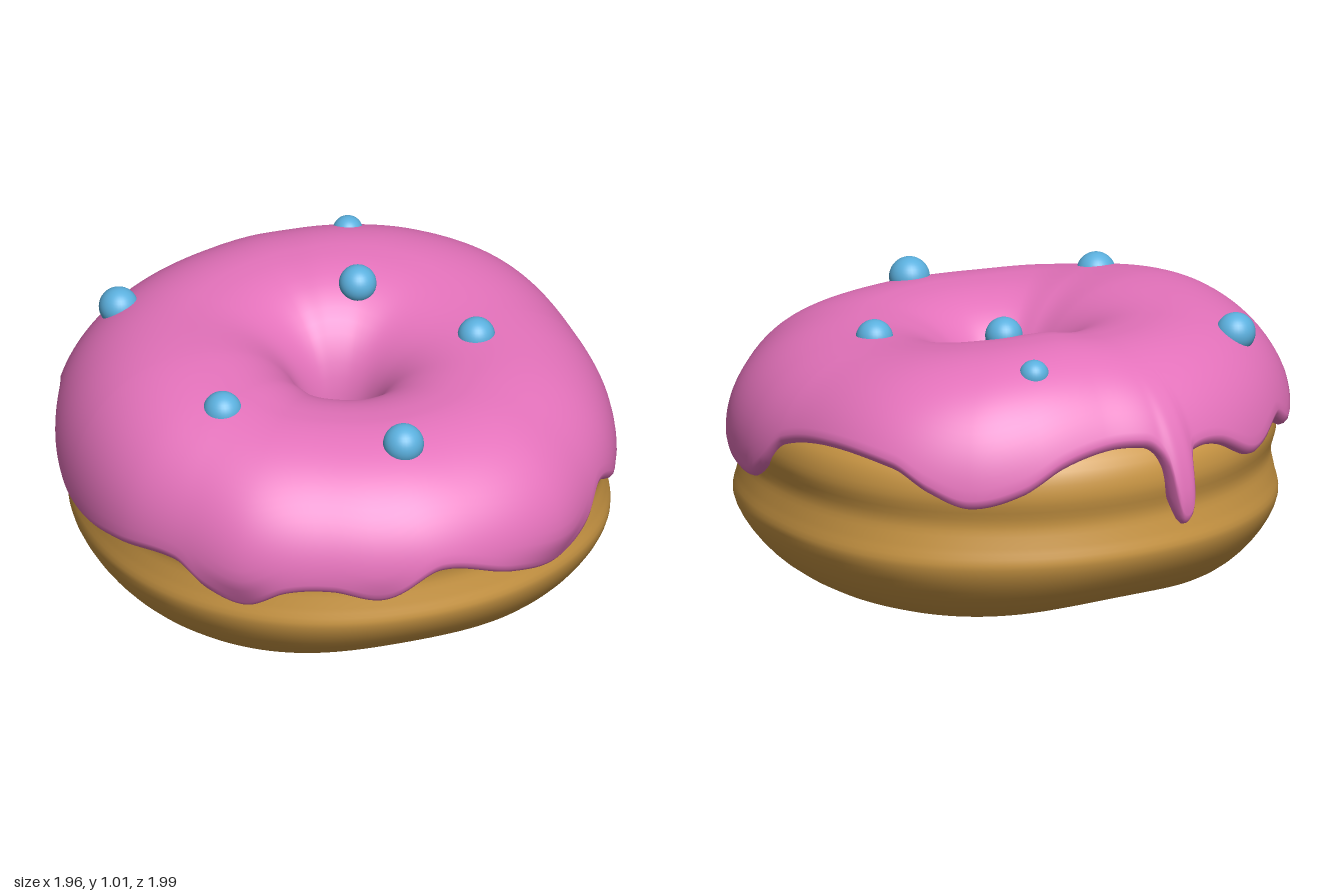
import * as THREE from 'three';

const DEG = Math.PI / 180;

// Smooth periodic curve through [degrees, value] pairs
function ringCurve(pts) {
  const n = pts.length;
  const at = (k) => {
    const turn = Math.floor(k / n), p = pts[k - turn * n];
    return [p[0] + 360 * turn, p[1]];
  };
  const slope = (k) => {
    const p = at(k - 1), q = at(k + 1);
    return (q[1] - p[1]) / (q[0] - p[0]);
  };
  return (a) => {
    let k = n - 1;
    while (k >= 0 && pts[k][0] > a) k--;
    const p = at(k), q = at(k + 1), d = q[0] - p[0], t = (a - p[0]) / d;
    const t2 = t * t, t3 = t2 * t;
    return p[1] * (2 * t3 - 3 * t2 + 1) + q[1] * (3 * t2 - 2 * t3)
      + slope(k) * d * (t3 - 2 * t2 + t) + slope(k + 1) * d * (t3 - t2);
  };
}

// Sweeps profile(angle) -> [[radius, y], ...] once around the y axis
function sweep(segments, profile, closed) {
  const pos = [], index = [];
  let m = 0;
  for (let i = 0; i < segments; i++) {
    const deg = (i / segments) * 360, a = deg * DEG, ring = profile(deg);
    m = ring.length;
    for (const [r, y] of ring) {
      const shift = 0.02 * Math.max(0, 1 - r / 0.5); // hole sits slightly off centre
      pos.push(r * Math.sin(a) + shift, y, r * Math.cos(a) + shift);
    }
  }
  for (let i = 0; i < segments; i++) {
    const i2 = (i + 1) % segments;
    for (let j = 0; j < (closed ? m : m - 1); j++) {
      const j2 = (j + 1) % m;
      const a = i * m + j, b = i * m + j2, c = i2 * m + j2, d = i2 * m + j;
      index.push(a, b, d, b, c, d);
    }
  }
  const g = new THREE.BufferGeometry();
  g.setAttribute('position', new THREE.Float32BufferAttribute(pos, 3));
  g.setIndex(index);
  g.computeVertexNormals();
  return g;
}

// Angles start at the front and turn towards +x
const icingRadius = ringCurve([[0, 1.0], [10, 1.01], [30, 1.03], [45, 1.005], [60, 1.0],
  [78, 0.985], [95, 0.983], [120, 1.04], [140, 1.02], [155, 0.98], [170, 0.953], [182, 0.968],
  [195, 0.968], [210, 0.975], [225, 0.985], [240, 0.993], [255, 0.988], [270, 0.983],
  [290, 0.985], [305, 0.975], [320, 0.992], [337, 0.972], [348, 0.98]]);
const crestHeight = ringCurve([[0, 0.89], [45, 0.89], [90, 0.91], [135, 0.97], [165, 0.99],
  [190, 0.97], [225, 0.965], [270, 0.975], [300, 0.94], [320, 0.91]]);
// The narrow dip at 187 is the long drip at the back
const icingEdge = ringCurve([[2, 0.51], [18, 0.43], [33, 0.37], [40, 0.42], [49, 0.52],
  [62, 0.43], [77, 0.425], [84, 0.49], [91, 0.6], [108, 0.66], [124, 0.64], [132, 0.57],
  [140, 0.52], [151, 0.56], [160, 0.64], [170, 0.68], [179, 0.68], [182, 0.655], [184, 0.59],
  [184.8, 0.48], [185.7, 0.418], [187, 0.398], [188.3, 0.418], [189.2, 0.48], [190, 0.59],
  [192, 0.635], [200, 0.63], [211, 0.55], [224, 0.61], [231, 0.56], [243, 0.65], [248, 0.64],
  [264, 0.475], [275, 0.44], [288, 0.46], [304, 0.48], [312, 0.4], [320, 0.36], [329, 0.44],
  [339, 0.45], [350, 0.41]]);
const doughRadius = ringCurve([[0, 0.92], [30, 0.945], [57, 0.975], [75, 0.965], [90, 0.955],
  [123, 0.966], [150, 0.945], [180, 0.925], [210, 0.928], [237, 0.935], [270, 0.912],
  [303, 0.917], [330, 0.92]]);

const CREST = 0.54, MID = 0.5;

function icingProfile(deg) {
  const R = icingRadius(deg), H = crestHeight(deg), edge = icingEdge(deg), out = [];
  const n = 2.15 - 0.25 * Math.max(0, Math.cos(deg * DEG)); // front shoulder slopes more
  const dripBulge = 0.033 * Math.exp(-(((deg - 187) / 3.2) ** 4));
  const yAt = (w) => MID + (H - MID) * w;
  // up the hole wall to the crest
  out.push([0.165, 0.47], [0.13, 0.45], [0.11, 0.46]);
  for (let k = 0; k <= 14; k++) {
    const s = 1 - k / 14, w = 1 - s * s;
    out.push([CREST * R - (CREST * R - 0.107) * Math.pow(1 - Math.pow(w, 2.3), 1 / 2.3), yAt(w)]);
  }
  // over the crest and down the outside
  const end = (edge + 0.04 - MID) / (H - MID);
  let r = 0;
  for (let k = 1; k <= 22; k++) {
    const s = k / 22, w = 1 - (1 - end) * s * s;
    const f = w > 0
      ? CREST + (1 - CREST) * Math.pow(1 - Math.pow(w, n), 1 / n)
      : 1 - 0.6 * w * w;
    r = R * f + dripBulge * (1 - w) ** 2;
    out.push([r, yAt(w)]);
  }
  // rounded lip tucked back under
  for (const [dr, dy] of [[0.004, 0.022], [0.016, 0.007], [0.034, 0], [0.055, 0.008],
    [0.08, 0.035], [0.125, 0.09]]) out.push([r - dr, edge + dy]);
  return out;
}

// Dough cross-section: hole wall, top, outer side with a shallow waist, underside
const doughSection = new THREE.CatmullRomCurve3([[0.135, 0.42], [0.145, 0.5], [0.18, 0.62],
  [0.3, 0.76], [0.5, 0.82], [0.7, 0.79], [0.83, 0.72], [0.915, 0.63], [0.935, 0.54], [0.914, 0.44],
  [0.927, 0.36], [0.94, 0.28], [0.87, 0.15], [0.74, 0.045], [0.53, 0], [0.36, 0.045],
  [0.24, 0.16], [0.165, 0.3]]
  .map(([r, y]) => new THREE.Vector3(r, y, 0)), true).getPoints(72).slice(0, -1);

function doughProfile(deg) {
  const scale = doughRadius(deg) / 0.94, c = Math.cos(deg * DEG);
  const lift = 0.04 * c ** 8 + 0.01 * Math.max(0, c) + 0.003;
  return doughSection.map((p) => [
    p.x * (1 + (scale - 1) * Math.min(1, p.x / 0.6)),
    p.y + lift * Math.max(0, 1 - p.y / 0.35),
  ]);
}

export function createModel() {
  const group = new THREE.Group();
  const material = (name, color) => {
    const m = new THREE.MeshStandardMaterial({ color });
    m.name = name;
    return m;
  };
  const brown = material('doughBrown', 0xcb9744);
  const pink = material('icingPink', 0xe472bb);
  const blue = material('sprinkleBlue', 0x5bb0de);
  pink.side = THREE.DoubleSide;
  const add = (name, geometry, mat) => {
    const mesh = new THREE.Mesh(geometry, mat);
    mesh.name = name;
    group.add(mesh);
    return mesh;
  };

  add('dough', sweep(180, doughProfile, true), brown);
  add('icing', sweep(1080, icingProfile, false), pink);

  // Round sprinkles: x, y, z, radius
  [[-0.61, 0.895, -0.51, 0.07], [0.303, 0.931, -0.65, 0.053], [0.195, 0.952, -0.27, 0.066],
    [0.495, 0.888, 0.11, 0.066], [-0.53, 0.908, 0.3, 0.069], [0.004, 0.872, 0.68, 0.072]]
    .forEach(([x, y, z, r], i) => {
      add('sprinkle' + (i + 1), new THREE.SphereGeometry(r, 32, 20), blue).position.set(x, y, z);
    });

  return group;
}
